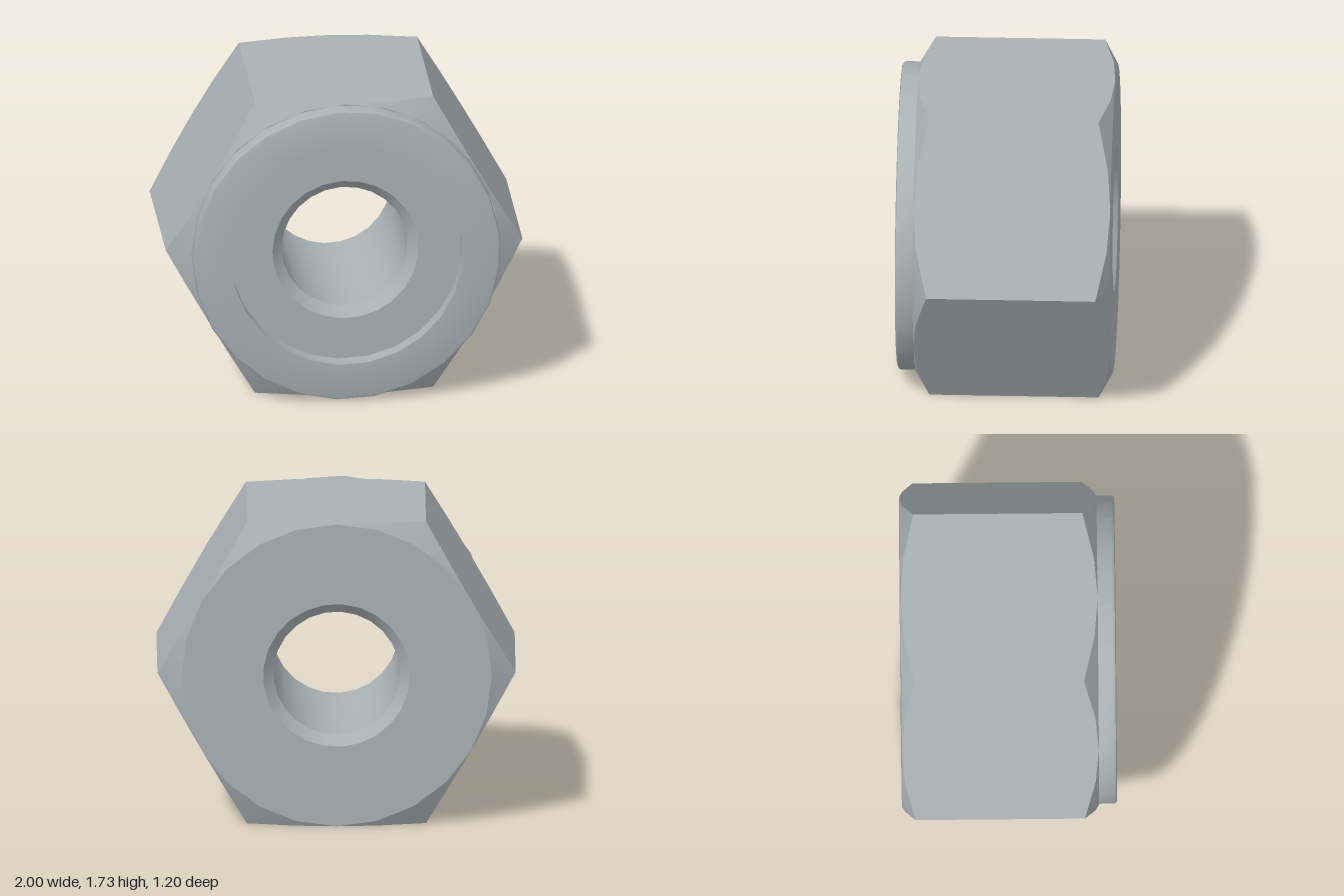
import * as THREE from 'three';
import { toCreasedNormals } from 'three/addons/utils/BufferGeometryUtils.js';

const APOTHEM = Math.sqrt(3) / 2; // hexagon with corner radius 1
const CREASE = 0.45;

// Hexagonal outside with conical corner chamfers, as stacked rings around z
function hexBody() {
  const steps = 24;
  const rings = [
    () => [0.6, -0.6],
    () => [APOTHEM, -0.6],
    (r) => [r, -0.6 + (r - APOTHEM) * 0.56],
    (r) => [r, 0.5 - (r - APOTHEM) * 0.6],
    () => [APOTHEM, 0.5],
    () => [0.75, 0.5],
  ];
  const positions = [];
  const index = [];
  for (const ring of rings) {
    for (let i = 0; i < steps; i++) {
      const a = (i / steps) * Math.PI * 2;
      const offset = (a % (Math.PI / 3)) - Math.PI / 6;
      // corners fall on multiples of 60 degrees
      const wall = i % 4 === 0 ? 1 : APOTHEM / Math.cos(offset);
      const [r, z] = ring(wall);
      positions.push(r * Math.cos(a), r * Math.sin(a), z);
    }
  }
  for (let k = 0; k < rings.length - 1; k++) {
    for (let i = 0; i < steps; i++) {
      const j = (i + 1) % steps;
      const a = k * steps + i, b = k * steps + j;
      const c = a + steps, d = b + steps;
      index.push(a, b, d, a, d, c);
    }
  }
  const geometry = new THREE.BufferGeometry();
  geometry.setAttribute('position', new THREE.Float32BufferAttribute(positions, 3));
  geometry.setIndex(index);
  return toCreasedNormals(geometry, CREASE);
}

// Turned surface around the z axis from [radius, z] pairs
function turned(profile) {
  const points = profile.map(([r, z]) => new THREE.Vector2(r, z));
  const geometry = new THREE.LatheGeometry(points, 25);
  geometry.rotateX(Math.PI / 2);
  geometry.rotateZ(-Math.PI / 2);
  return toCreasedNormals(geometry, CREASE);
}

export function createModel() {
  const steel = new THREE.MeshStandardMaterial({ color: 0xa9b1b5 });
  steel.name = 'steel grey';
  const nut = new THREE.Group();
  nut.name = 'hexNut';
  const add = (name, geometry) => {
    const mesh = new THREE.Mesh(geometry, steel);
    mesh.name = name;
    nut.add(mesh);
  };

  add('hexBody', hexBody());

  // Round front collar with a softened rim and a stepped recess
  add('collar', turned([
    [0.862, 0.49], [0.862, 0.583], [0.857, 0.595], [0.845, 0.6],
    [0.65, 0.6], [0.65, 0.5], [0.41, 0.5],
  ]));

  // Through hole, chamfered at both ends, with the inner part of the back face
  add('bore', turned([
    [0.41, 0.5], [0.353, 0.443], [0.353, -0.543], [0.41, -0.6], [0.62, -0.6],
  ]));

  nut.position.y = APOTHEM;
  const model = new THREE.Group();
  model.name = 'nut';
  model.add(nut);
  return model;
}
